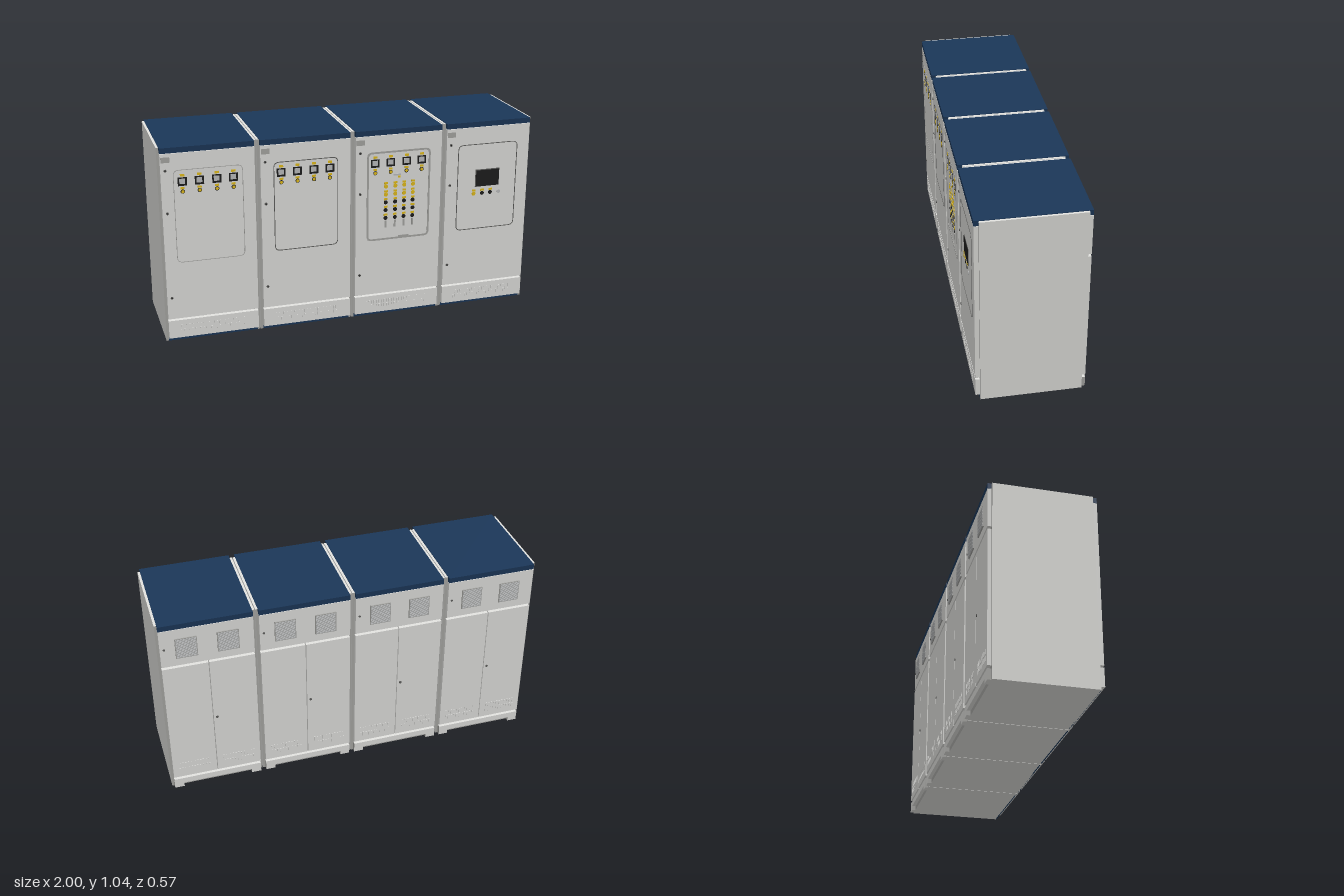
import * as THREE from 'three';
import { mergeGeometries } from 'three/addons/utils/BufferGeometryUtils.js';

const mat = (name, color) => {
  const m = new THREE.MeshStandardMaterial({ color });
  m.name = name;
  return m;
};
const grey = mat('cabinetGrey', 0xe3e3e0);
const frame = mat('frameGrey', 0xa9a9a6);
const blue = mat('trimBlue', 0x1b3759);
const dark = mat('darkGrey', 0x626260);
const black = mat('black', 0x1e1e1e);
const yellow = mat('yellow', 0xe6c01c);
const steel = mat('steel', 0xbfc1c2);

const FRONT = 0.278, BACK = -0.275, HALF = 0.2485, DOOR = 0.236;

function add(parent, name, geometry, material) {
  const mesh = new THREE.Mesh(geometry, material);
  mesh.name = name;
  parent.add(mesh);
  return mesh;
}

// Box given by its limits on each axis
function box(parent, name, material, x0, x1, y0, y1, z0, z1) {
  const mesh = add(parent, name, new THREE.BoxGeometry(x1 - x0, y1 - y0, z1 - z0), material);
  mesh.position.set((x0 + x1) / 2, (y0 + y1) / 2, (z0 + z1) / 2);
}

// Thin plate centred at x, y standing on the front face
function plate(parent, name, material, x, y, w, h, t) {
  box(parent, name, material, x - w / 2, x + w / 2, y - h / 2, y + h / 2, FRONT, FRONT + t);
}

// Disc facing front or back
function knob(parent, name, material, x, y, z, r, depth) {
  const mesh = add(parent, name, new THREE.CylinderGeometry(r, r, depth, 16), material);
  mesh.rotation.x = Math.PI / 2;
  mesh.position.set(x, y, z);
}

// Regular grid of small boxes merged into one mesh
function grid(parent, name, material, x0, x1, cols, ys, w, h, z, t) {
  const parts = [];
  for (const y of ys) {
    for (let i = 0; i < cols; i++) {
      const x = cols > 1 ? x0 + (x1 - x0) * i / (cols - 1) : (x0 + x1) / 2;
      parts.push(new THREE.BoxGeometry(w, h, t).translate(x, y, z));
    }
  }
  add(parent, name, mergeGeometries(parts), material);
}

function roundedRect(path, w, h, r) {
  const x = w / 2, y = h / 2;
  path.moveTo(-x + r, -y);
  path.lineTo(x - r, -y);
  path.quadraticCurveTo(x, -y, x, -y + r);
  path.lineTo(x, y - r);
  path.quadraticCurveTo(x, y, x - r, y);
  path.lineTo(-x + r, y);
  path.quadraticCurveTo(-x, y, -x, y - r);
  path.lineTo(-x, -y + r);
  path.quadraticCurveTo(-x, -y, -x + r, -y);
  return path;
}

// Rounded outline around the instrument window
function bezel(parent, material, w, h, band) {
  const shape = roundedRect(new THREE.Shape(), w, h, 0.03);
  shape.holes.push(roundedRect(new THREE.Path(), w - 2 * band, h - 2 * band, 0.03 - band));
  const geo = new THREE.ExtrudeGeometry(shape, { depth: 0.0015, bevelEnabled: false, curveSegments: 6 });
  add(parent, 'windowBezel', geo, material).position.set(0, 0.682, FRONT);
}

// Push button with a label above it
function button(parent, x, y, cap, ring) {
  plate(parent, 'buttonLabel', yellow, x, y + 0.018, 0.02, 0.011, 0.0015);
  knob(parent, 'buttonRing', ring, x, y, FRONT, 0.011, 0.003);
  knob(parent, 'buttonCap', cap, x, y, FRONT + 0.001, 0.008, 0.004);
}

// Row of four square meters with a lamp under each
function meters(parent) {
  for (const x of [-0.13, -0.045, 0.042, 0.126]) {
    plate(parent, 'meterLabel', yellow, x, 0.898, 0.022, 0.012, 0.0015);
    plate(parent, 'meterCase', black, x, 0.865, 0.046, 0.044, 0.0015);
    plate(parent, 'meterFace', steel, x - 0.001, 0.867, 0.029, 0.027, 0.003);
    button(parent, x, 0.813, yellow, black);
  }
}

function cabinetShell(parent) {
  // Carcass: darker where it shows between the doors
  add(parent, 'carcass', new THREE.BoxGeometry(2 * HALF, 1.04, 0.51),
    [grey, grey, grey, grey, frame, frame]).position.y = 0.52;
  box(parent, 'roof', blue, -DOOR, DOOR, 1.015, 1.043, BACK, FRONT);
  // Front
  box(parent, 'plinthStrip', blue, -DOOR, DOOR, 0, 0.019, 0.25, 0.2565);
  box(parent, 'frontKickPanel', grey, -DOOR, DOOR, 0.021, 0.119, 0.25, FRONT);
  box(parent, 'frontDoor', grey, -DOOR, DOOR, 0.13, 1.013, 0.25, FRONT);
  grid(parent, 'frontVentLouvres', grey, -0.17, 0.16, 24, [0.058, 0.083], 0.006, 0.018, FRONT, 0.004);
  plate(parent, 'namePlate', frame, -0.21, 0.982, 0.044, 0.028, 0.0015);
  for (const y of [0.927, 0.705, 0.248]) {
    knob(parent, 'doorLock', dark, -0.212, y, FRONT + 0.001, 0.007, 0.006);
    knob(parent, 'lockCore', black, -0.212, y, FRONT + 0.003, 0.003, 0.005);
  }
  // Back
  const endsDark = [frame, frame, grey, grey, grey, grey];
  box(parent, 'backTopPanel', grey, -DOOR, DOOR, 0.8, 1.013, BACK, -0.25);
  knob(parent, 'backLock', dark, 0.215, 0.905, BACK, 0.006, 0.006);
  knob(parent, 'backHandle', dark, -0.02, 0.43, BACK, 0.007, 0.006);
  box(parent, 'backBaseRail', endsDark, -DOOR, DOOR, 0.024, 0.056, BACK, -0.25);
  for (const s of [-1, 1]) {
    const half = (name, m, a, b, ...rest) =>
      box(parent, name, m, Math.min(s * a, s * b), Math.max(s * a, s * b), ...rest);
    half('backDoor', grey, 0.002, DOOR, 0.071, 0.786, BACK, -0.25);
    half('backFoot', endsDark, 0.185, DOOR, 0, 0.024, BACK, -0.25);
    half('louvreBox', frame, 0.05, 0.16, 0.845, 0.96, BACK - 0.006, BACK);
    const ys = Array.from({ length: 13 }, (_, i) => 0.852 + i * 0.0084);
    grid(parent, 'louvreSlats', steel, s * 0.105, s * 0.105, 1, ys, 0.102, 0.005, BACK - 0.006, 0.005);
    grid(parent, 'backVentLouvres', grey, s * 0.04, s * 0.2, 11, [0.118, 0.152], 0.008, 0.025, BACK, 0.004);
  }
}

// Instruments of each cabinet, from the right end to the left
const fittings = [
  (g) => {
    bezel(g, frame, 0.35, 0.49, 0.003);
    meters(g);
  },
  (g) => {
    bezel(g, dark, 0.34, 0.48, 0.004);
    meters(g);
  },
  (g) => {
    bezel(g, frame, 0.35, 0.49, 0.01);
    meters(g);
    plate(g, 'upperCatch', steel, -0.01, 0.795, 0.04, 0.008, 0.003);
    plate(g, 'catchLabel', yellow, 0.003, 0.783, 0.014, 0.012, 0.002);
    plate(g, 'lowerCatch', frame, 0.032, 0.45, 0.06, 0.01, 0.003);
    for (const x of [-0.07, -0.018, 0.031, 0.08]) {
      [0.735, 0.69, 0.647, 0.604, 0.56].forEach((y, row) =>
        button(g, x, y, row < 2 ? yellow : black, row < 2 ? yellow : black));
      plate(g, 'switchLever', frame, x, 0.526, 0.01, 0.038, 0.003);
    }
  },
  (g) => {
    bezel(g, dark, 0.34, 0.48, 0.004);
    plate(g, 'screenFrame', dark, 0.002, 0.731, 0.138, 0.096, 0.0015);
    plate(g, 'screen', black, 0.004, 0.729, 0.132, 0.09, 0.003);
    [-0.073, -0.024, 0.023, 0.072].forEach((x, i) =>
      i < 3 ? button(g, x, 0.645, i ? black : yellow, i ? black : yellow)
        : knob(g, 'keySwitch', steel, x, 0.645, FRONT + 0.001, 0.01, 0.004));
  },
];

export function createModel() {
  const model = new THREE.Group();
  model.name = 'switchgearRow';
  fittings.forEach((fit, i) => {
    const cabinet = new THREE.Group();
    cabinet.name = 'cabinet' + (i + 1);
    cabinet.position.x = (i - 1.5) * 0.501;
    cabinetShell(cabinet);
    fit(cabinet);
    model.add(cabinet);
  });
  return model;
}
